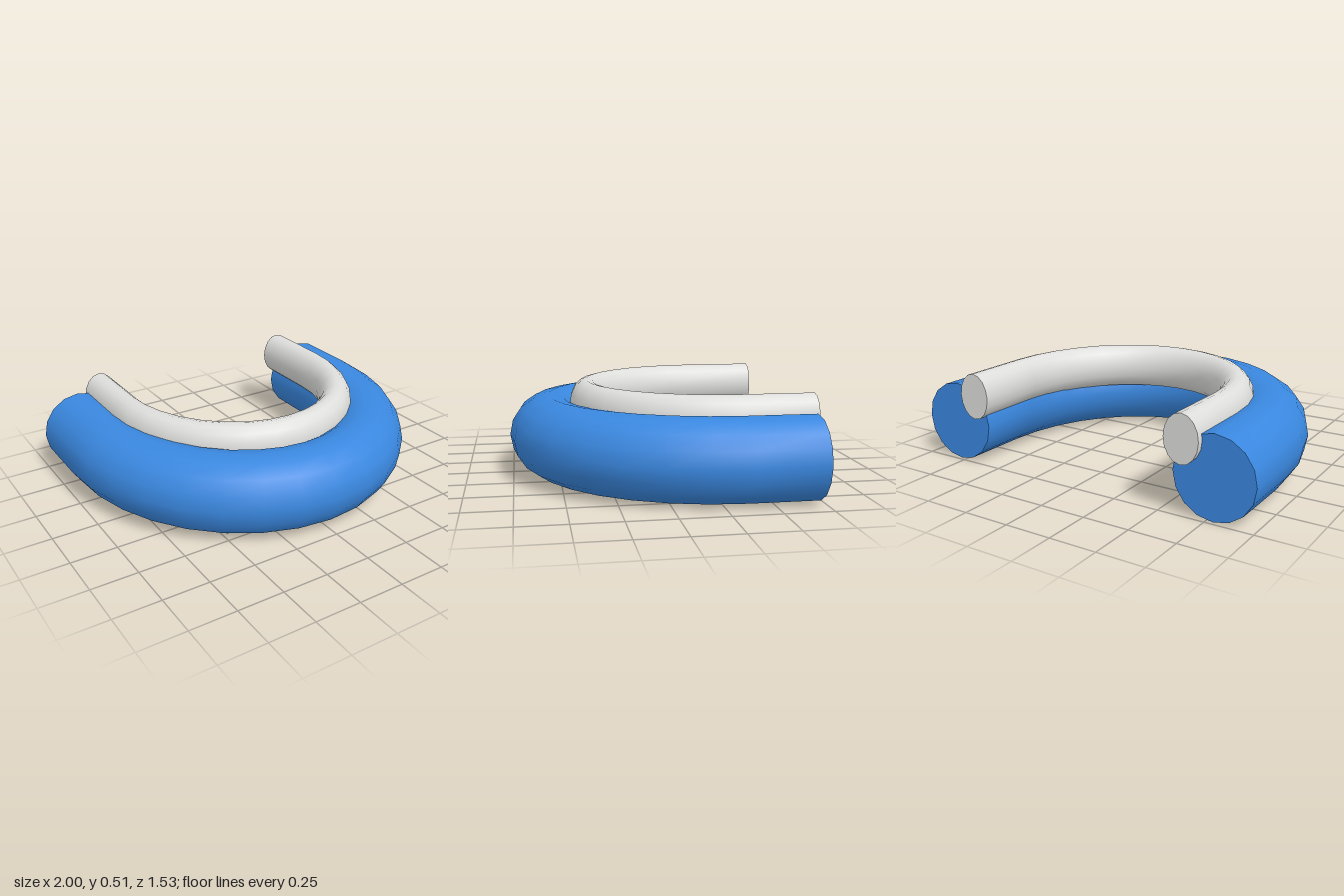
import * as THREE from 'three';

const SIDES = 16;
const ARC_STEPS = 16;
const ARC_Z = -0.37; // where the straight legs meet the elliptical bend

// U-shaped centreline: straight leg, half ellipse, straight leg
function uPath(halfWidth, frontZ, backZ) {
  const depth = frontZ - ARC_Z;
  const stations = [{ x: halfWidth, z: backZ, nx: 1, nz: 0 }];
  for (let i = 0; i <= ARC_STEPS; i++) {
    const a = (Math.PI * i) / ARC_STEPS;
    const c = Math.cos(a), s = Math.sin(a);
    const len = Math.hypot(c / halfWidth, s / depth);
    stations.push({
      x: halfWidth * c, z: ARC_Z + depth * s,
      nx: c / halfWidth / len, nz: s / depth / len,
    });
  }
  stations.push({ x: -halfWidth, z: backZ, nx: -1, nz: 0 });
  return stations;
}

// Points of an upright elliptical ring at one station
function ring(p, y, rx, ry) {
  const pts = [];
  for (let j = 0; j < SIDES; j++) {
    const a = (2 * Math.PI * j) / SIDES;
    const out = rx * Math.cos(a);
    pts.push(p.x + p.nx * out, y + ry * Math.sin(a), p.z + p.nz * out);
  }
  return pts;
}

function makeGeometry(positions, index) {
  const g = new THREE.BufferGeometry();
  g.setAttribute('position', new THREE.Float32BufferAttribute(positions, 3));
  g.setIndex(index);
  g.computeVertexNormals();
  return g;
}

// Smooth swept bar with flat, sharp-edged ends
function bentBar(name, material, { halfWidth, frontZ, backZ, y, rx, ry }) {
  const bar = new THREE.Group();
  bar.name = name;
  const path = uPath(halfWidth, frontZ, backZ);
  const positions = path.flatMap((p) => ring(p, y, rx, ry));
  const index = [];
  for (let i = 0; i < path.length - 1; i++) {
    for (let j = 0; j < SIDES; j++) {
      const a = i * SIDES + j, b = i * SIDES + ((j + 1) % SIDES);
      index.push(a, b, a + SIDES, b, b + SIDES, a + SIDES);
    }
  }
  const body = new THREE.Mesh(makeGeometry(positions, index), material);
  body.name = name + 'Body';
  bar.add(body);

  // End caps, both facing backwards
  [[path[0], 'LeftEnd', true], [path[path.length - 1], 'RightEnd', false]].forEach(([p, label, flip]) => {
    const capIndex = [];
    for (let j = 1; j < SIDES - 1; j++) {
      capIndex.push(0, flip ? j + 1 : j, flip ? j : j + 1);
    }
    const cap = new THREE.Mesh(makeGeometry(ring(p, y, rx, ry), capIndex), material);
    cap.name = name + label;
    bar.add(cap);
  });
  return bar;
}

export function createModel() {
  const model = new THREE.Group();
  model.name = 'bentTubes';
  const blue = new THREE.MeshStandardMaterial({ color: 0x3a88e0 });
  blue.name = 'blue';
  const lightGrey = new THREE.MeshStandardMaterial({ color: 0xdededc });
  lightGrey.name = 'lightGrey';

  // Thick round outer tube
  model.add(bentBar('outerTube', blue, {
    halfWidth: 0.785, frontZ: 0.548, backZ: -0.73, y: 0.215, rx: 0.215, ry: 0.215,
  }));
  // Slim oval tube set into its upper inner side
  model.add(bentBar('innerTube', lightGrey, {
    halfWidth: 0.63, frontZ: 0.335, backZ: -0.765, y: 0.385, rx: 0.093, ry: 0.125,
  }));
  return model;
}
